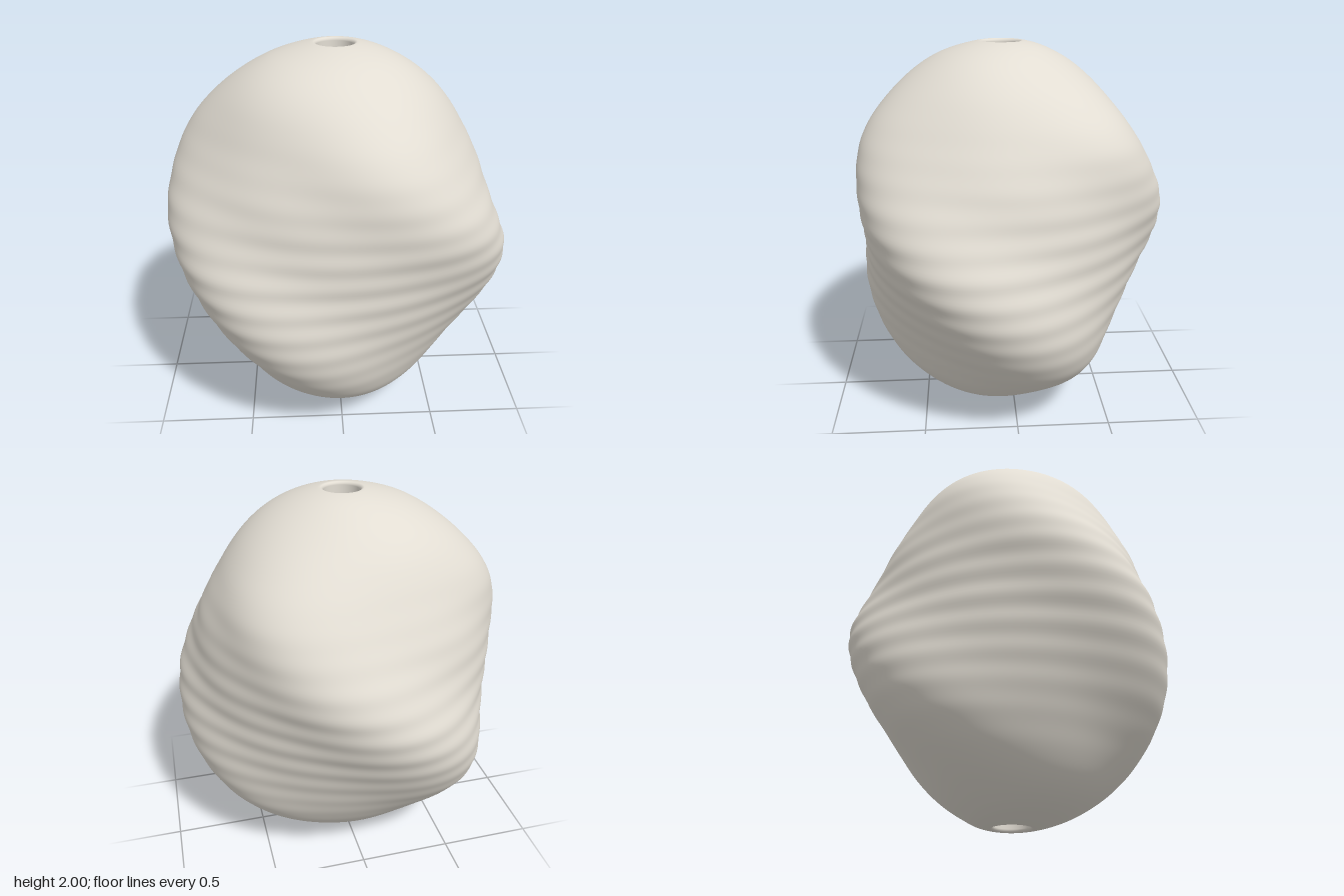
import * as THREE from 'three';
import { mergeVertices } from 'three/addons/utils/BufferGeometryUtils.js';

const R = 0.831;       // widest mean radius
const RIM = 0.112;     // where the body meets the hole's rounded rim
const HOLE = 0.095;
const { smoothstep, clamp } = THREE.MathUtils;

// Strength of the three lobes (cosine, sine) every 0.2 in height, from the bottom up
const lobeCurve = new THREE.SplineCurve([
  [-0.03, -0.085], [-0.01, -0.09], [0.045, -0.076], [0.084, -0.033], [0.079, 0.025], [0.033, 0.069],
  [-0.032, 0.058], [-0.06, 0.008], [-0.071, -0.038], [-0.06, -0.049], [-0.05, -0.055],
].map(([a, b]) => new THREE.Vector2(a, b)));

// Closed profile: outer shell from bottom to top, rim, hole wall, rim
function profile() {
  const pts = [];
  const t0 = Math.asin(RIM / R), rows = 170;
  for (let i = 0; i <= rows; i++) {
    const t = t0 + (Math.PI - 2 * t0) * i / rows;
    pts.push(new THREE.Vector2(R * Math.sin(t), 1 - Math.cos(t) / Math.cos(t0)));
  }
  const f = RIM - HOLE;
  const rim = [1, 2, 3, 4].map(i => {
    const a = i / 4 * Math.PI / 2;
    return [RIM - f * Math.sin(a), f * (1 - Math.cos(a))];
  });
  rim.forEach(([r, d]) => pts.push(new THREE.Vector2(r, 2 - d)));
  for (let i = 1; i < 12; i++) pts.push(new THREE.Vector2(HOLE, 2 - f - (2 - 2 * f) * i / 12));
  rim.reverse().forEach(([r, d]) => pts.push(new THREE.Vector2(r, d)));
  pts.push(pts[0].clone());
  return pts;
}

// Twisting lobes that turn into a gentle lean at the ends, an oval section and
// fine ripples, all fading out at the hole
function sculpt(geometry) {
  const p = geometry.attributes.position;
  const lobe = new THREE.Vector2();
  for (let i = 0; i < p.count; i++) {
    const x = p.getX(i), z = p.getZ(i), h = p.getY(i) - 1;
    const r = Math.hypot(x, z), a = Math.atan2(z, x);
    const fade = smoothstep(r, RIM, 0.32);
    const q = smoothstep(r, 0.32, 0.75);
    lobeCurve.getPoint(clamp((h + 1) / 2, 0, 1), lobe);
    const crest = 3 * a - Math.atan2(lobe.y, lobe.x);
    const lobes = q * (lobe.length() * Math.cos(crest) + 0.011 * Math.cos(2 * crest));
    const lean = (1 - q) * (lobe.x * Math.cos(a) - lobe.y * Math.sin(a));
    const oval = 0.025 * Math.cos(2 * a) + 0.022 * h;
    const ripple = 0.0032 * Math.sin(2 * Math.PI * h / 0.125) * Math.exp(-(((h + 0.05) / 0.45) ** 2));
    const s = 1 + fade * (lobes + lean + oval + ripple / r);
    p.setX(i, x * s);
    p.setZ(i, z * s);
  }
}

export function createModel() {
  const group = new THREE.Group();
  group.name = 'twistedBead';
  const stone = new THREE.MeshStandardMaterial({ color: 0xe2ddd3 });
  stone.name = 'warm pale grey';

  let geometry = new THREE.LatheGeometry(profile(), 200);
  geometry.deleteAttribute('uv');
  geometry.deleteAttribute('normal');
  geometry = mergeVertices(geometry, 1e-5);
  sculpt(geometry);
  geometry.computeVertexNormals();

  const bead = new THREE.Mesh(geometry, stone);
  bead.name = 'beadBody';
  bead.position.set(-0.015, 0, 0.055);
  group.add(bead);
  return group;
}
